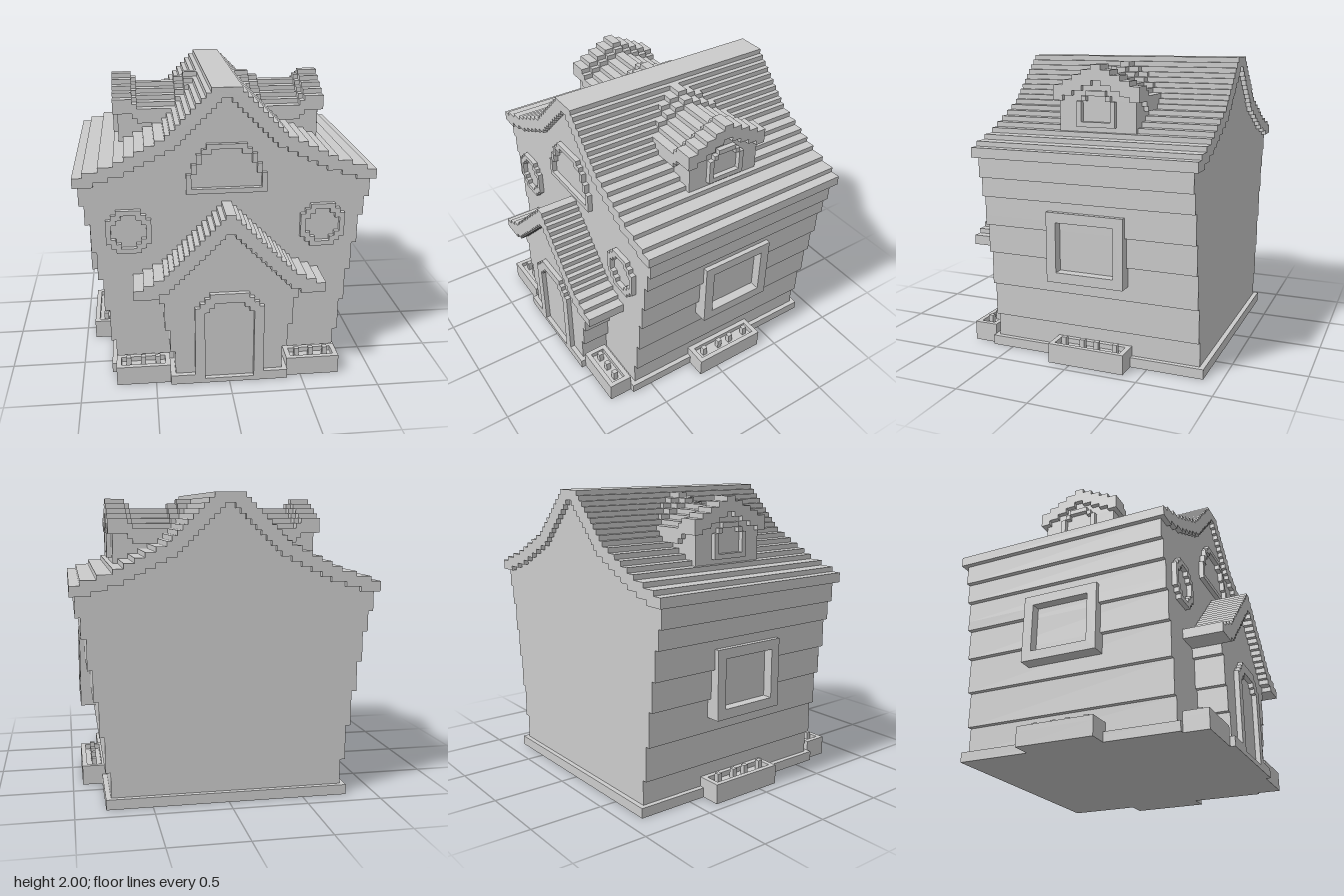
import * as THREE from 'three';

// All sizes below are in voxels; the whole house is scaled by 1/30.
const material = new THREE.MeshStandardMaterial({ color: 0xcccccc, flatShading: true });

function add(parent, name, geometry) {
  const mesh = new THREE.Mesh(geometry, material);
  mesh.name = name;
  parent.add(mesh);
  return mesh;
}

// Box given by its limits on each axis
function box(parent, name, x0, x1, y0, y1, z0, z1) {
  const mesh = add(parent, name, new THREE.BoxGeometry(x1 - x0, y1 - y0, z1 - z0));
  mesh.position.set((x0 + x1) / 2, (y0 + y1) / 2, (z0 + z1) / 2);
  return mesh;
}

// Symmetric stepped outline from a base height and [halfWidth, top] steps
function outline(y0, steps) {
  const right = [];
  let y = y0;
  for (const [w, top] of steps) {
    right.push(new THREE.Vector2(w, y), new THREE.Vector2(w, top));
    y = top;
  }
  const left = right.map((p) => new THREE.Vector2(-p.x, p.y)).reverse();
  return [...right, ...left];
}

// One-voxel-high layers from a list of half widths, merging equal neighbours
function layers(y0, widths) {
  const steps = [];
  widths.forEach((w, i) => {
    if (i && widths[i - 1] === w) steps[steps.length - 1][1] = y0 + i + 1;
    else steps.push([w, y0 + i + 1]);
  });
  return steps;
}

function extrude(parent, name, shape, z0, z1) {
  const mesh = add(parent, name, new THREE.ExtrudeGeometry(shape, { depth: z1 - z0, bevelEnabled: false }));
  mesh.position.z = z0;
  return mesh;
}

// Stepped roof shell, open below
function roof(parent, name, y0, outer, inner, z0, z1) {
  const points = [...outline(y0, layers(y0, outer)), ...outline(y0, layers(y0, inner)).reverse()];
  return extrude(parent, name, new THREE.Shape(points), z0, z1);
}

function gable(parent, name, y0, widths, z0, z1) {
  return extrude(parent, name, new THREE.Shape(outline(y0, layers(y0, widths))), z0, z1);
}

// Door or window surround with an opening
function frame(parent, name, y0, outer, yi, inner, z0, z1) {
  const shape = new THREE.Shape(outline(y0, outer));
  shape.holes.push(new THREE.Path(outline(yi, inner).reverse()));
  return extrude(parent, name, shape, z0, z1);
}

// Flower box with a raised rim and small stems
function planter(parent, cx, cz, w, d, stems) {
  const group = new THREE.Group();
  group.name = 'flowerBox';
  group.position.set(cx, 0, cz);
  parent.add(group);
  const a = w / 2, b = d / 2;
  box(group, 'boxBody', -a, a, 0, 3, -b, b);
  for (const s of [-1, 1]) {
    box(group, 'boxRimLong', -a, a, 3, 4, s * (b - 0.5) - 0.5, s * (b - 0.5) + 0.5);
    box(group, 'boxRimShort', s * (a - 0.5) - 0.5, s * (a - 0.5) + 0.5, 3, 4, 1 - b, b - 1);
  }
  for (const x of stems) box(group, 'stem', x - 0.5, x + 0.5, 3, 5, -0.5, 0.5);
}

// Everything on one side of the house; local +z points outward
function buildSide(side) {
  const group = new THREE.Group();
  group.name = side > 0 ? 'leftSide' : 'rightSide';
  group.rotation.y = side * Math.PI / 2;
  group.position.z = -3.5;

  frame(group, 'sideWindowFrame', 17, [[8, 31]], 19, [[6, 29]], 24, 28);
  box(group, 'sideWindowPane', -6, 6, 19, 29, 24, 26);
  planter(group, 0, 25.5, 16, 5, [-5.5, -1.5, 1.5, 5.5]);

  // dormer with a roof that dips in the middle
  const outer = [9, 9, 9, 7, 5, 3, 1];
  const inner = [7, 5, 3, 1];
  box(group, 'dormerWall', -8, 8, 44, 52, 3, 21);
  gable(group, 'dormerGable', 52, inner, 18, 21);
  for (const [z0, z1, drop] of [[3, 7, 0], [7, 9, 1], [9, 17, 2], [17, 18, 1], [18, 22, 0]]) {
    roof(group, 'dormerRoof', 52, outer, inner, z0, z1).position.y = -drop;
  }
  frame(group, 'dormerWindowFrame', 47, [[4, 52], [3, 53], [2, 54]], 48, [[3, 52], [2, 53]], 21, 22);
  return group;
}

export function createModel() {
  const model = new THREE.Group();
  model.name = 'house';
  const house = new THREE.Group();
  house.name = 'houseBody';
  house.scale.setScalar(1 / 30);
  model.add(house);

  // foundation and walls that widen upward board by board
  box(house, 'foundation', -24, 24, 0, 2, -26.5, 19.5);
  const boards = [[2, 7, 23], [7, 14, 24], [14, 21, 25], [21, 27, 26], [27, 29, 26],
    [29, 33, 27], [33, 37, 28], [37, 41, 29]];
  for (const [y0, y1, w] of boards) box(house, 'wallBoard', -w, w, y0, y1, -25.5, 18.5);
  for (const s of [-1, 1]) {
    const x0 = s > 0 ? 26 : -27;
    box(house, 'wallBoardBack', x0, x0 + 1, 27, 29, -25.5, -11.5);
    box(house, 'wallBoardFront', x0, x0 + 1, 27, 29, 4.5, 18.5);
  }

  // main roof, flaring at the eaves
  const main = [30, 30, 28, 25, 22, 20, 18, 16, 14, 12, 11, 10, 9, 8, 7, 6, 5, 4, 3];
  const mainInner = main.slice(2).map((w) => w - 2);
  roof(house, 'mainRoof', 41, main, mainInner, -26.5, 19.5);
  gable(house, 'mainGable', 41, mainInner, -25.5, 18.5);

  // porch
  for (const [y0, y1, w] of [[0, 7, 11], [7, 12, 12], [12, 18, 13], [18, 20, 14]]) {
    box(house, 'porchWall', -w, w, y0, y1, 18.5, 24.5);
  }
  const porch = [19, 19, 17, 15, 13];
  for (let w = 12; w >= 1; w--) porch.push(w);
  const porchInner = porch.slice(3, -1).map((w) => w - 1);
  roof(house, 'porchRoof', 20, porch, porchInner, 18.5, 26.5);
  gable(house, 'porchGable', 20, porchInner, 18.5, 24.5);
  for (const s of [-1, 1]) {
    const x0 = s > 0 ? 7 : -12;
    box(house, 'porchStep', x0, x0 + 5, 0, 2, 18.5, 25.5);
  }

  // door surround and upper window
  frame(house, 'doorFrame', 0, [[7, 17], [6, 18], [5, 19], [4, 20]],
    1, [[5, 16], [4, 17], [3, 18]], 24.5, 25.5);
  frame(house, 'gableWindowFrame', 39, [[8, 43], [7, 45], [6, 47], [5, 48], [4, 49]],
    40, [[7, 43], [6, 45], [5, 47], [3, 48]], 18.5, 19.5);

  // round windows, front planters and the two sides
  for (const s of [-1, 1]) {
    frame(house, 'roundWindowFrame',
      27, [[2.5, 28], [3.5, 29], [4.5, 34], [3.5, 35], [2.5, 36]],
      28, [[1.5, 29], [2.5, 30], [3.5, 33], [2.5, 34], [1.5, 35]], 18.5, 19.5).position.x = s * 19.5;
    planter(house, s * 17.5, 22, 11, 5, [-3, 0, 3]);
    house.add(buildSide(s));
  }
  return model;
}
